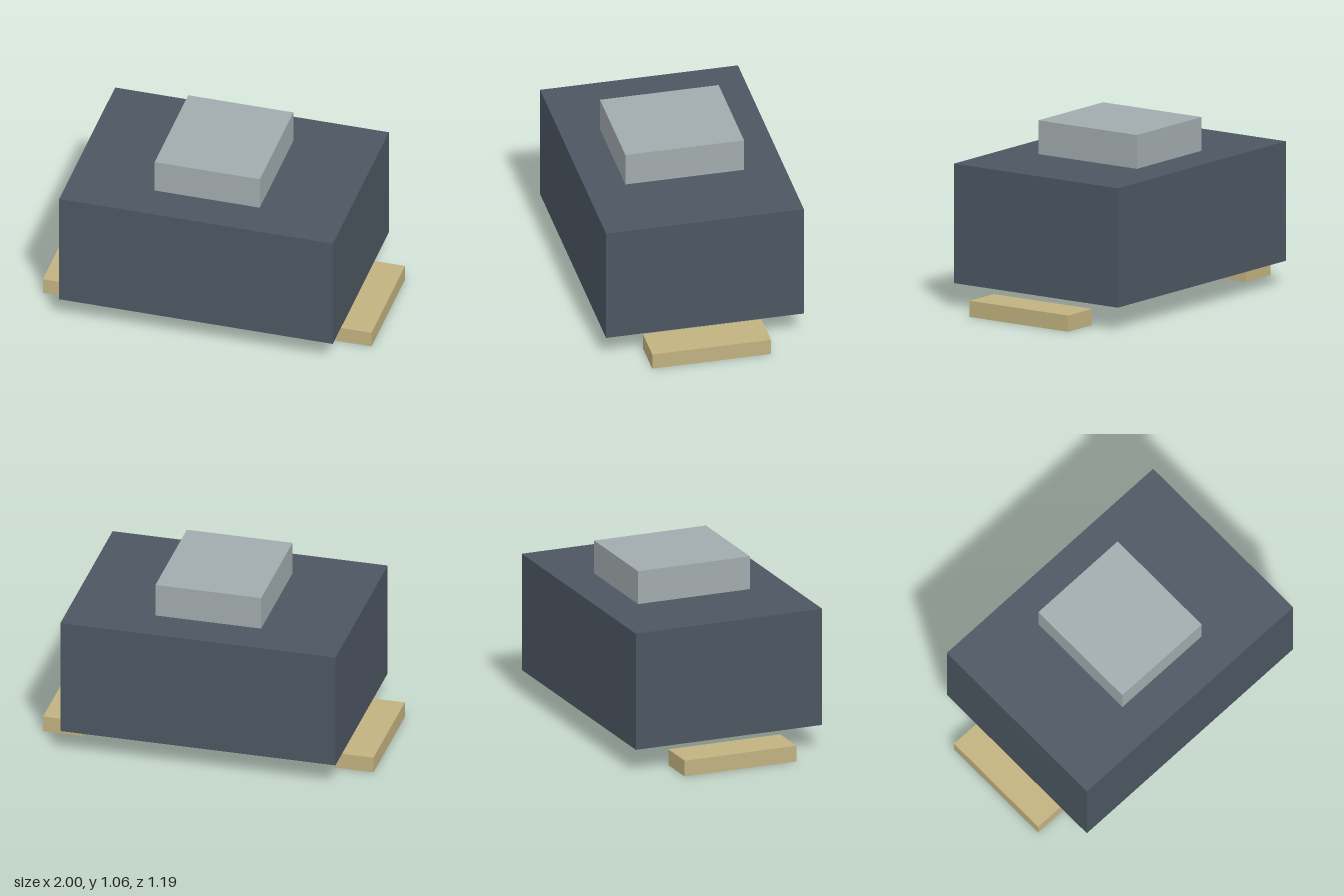
import * as THREE from 'three';

export function createModel() {
  const group = new THREE.Group();
  const material = (name, color) => {
    const m = new THREE.MeshStandardMaterial({ color });
    m.name = name;
    return m;
  };
  const slate = material('slate', 0x4c5661);
  const paleGrey = material('paleGrey', 0xa1abad);
  const sand = material('sand', 0xc2b280);

  // Box resting on a given height
  const box = (name, mat, w, h, d, x, bottom) => {
    const mesh = new THREE.Mesh(new THREE.BoxGeometry(w, h, d), mat);
    mesh.name = name;
    mesh.position.set(x, bottom + h / 2, 0);
    group.add(mesh);
  };

  // Main block with the raised cap on top
  box('body', slate, 1.666, 0.714, 1.19, 0, 0.145);
  box('topCap', paleGrey, 0.64, 0.202, 0.714, 0, 0.859);

  // Separate low runners, one on each side
  for (const side of [1, -1]) {
    box(side > 0 ? 'leftRunner' : 'rightRunner', sand, 0.238, 0.097, 0.714, side * 0.881, 0);
  }
  return group;
}
